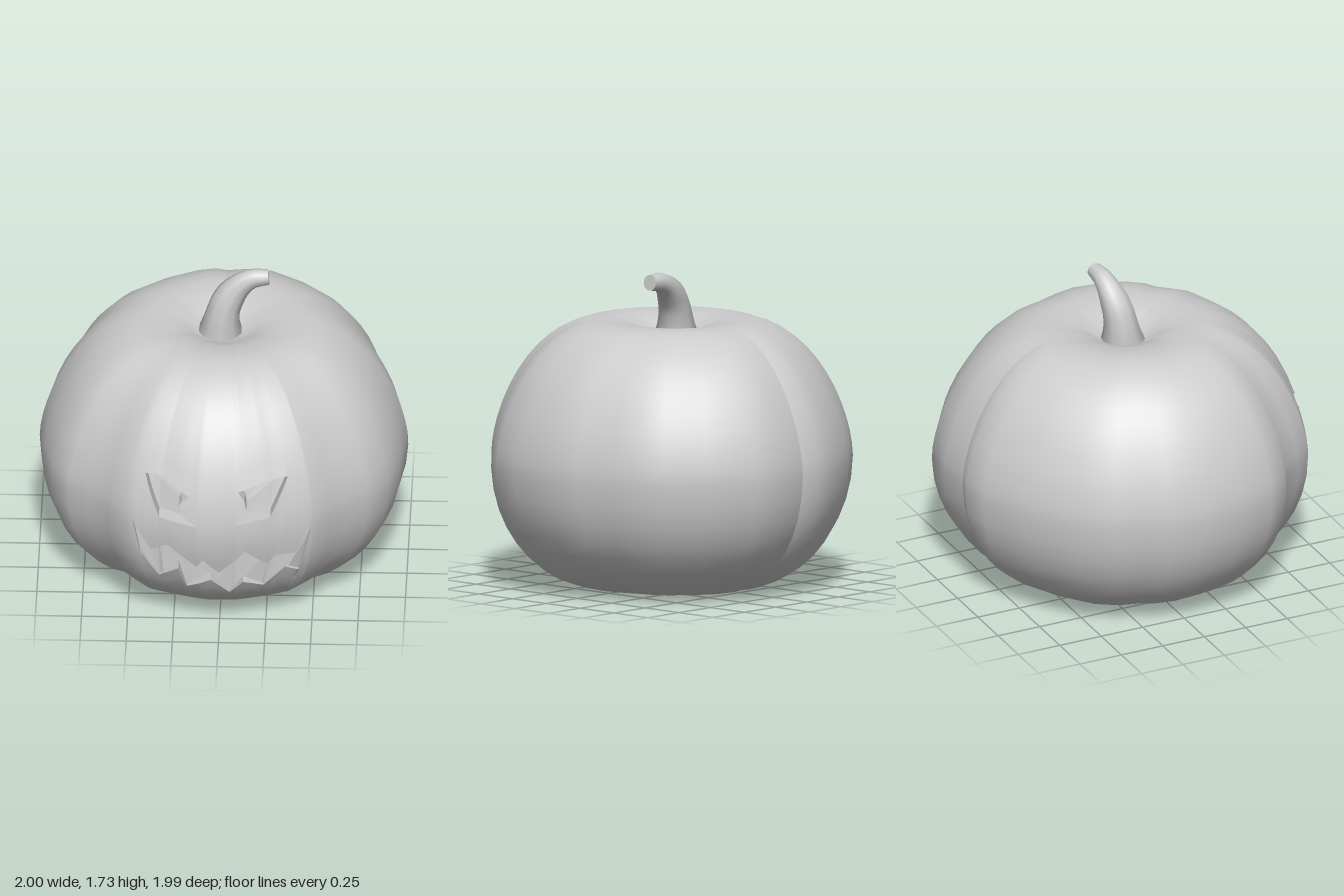
import * as THREE from 'three';
import { mergeVertices } from 'three/addons/utils/BufferGeometryUtils.js';

const TOP = 1.453, WIDEST = 0.69;

// Widest horizontal outline of the ribbed body, as x, z pairs
const OUTLINE = [
  [0, 0.995], [0.1, 0.997], [0.33, 0.93], [0.515, 0.858], [0.6, 0.767], [0.686, 0.665], [0.8, 0.595],
  [0.906, 0.456], [0.965, 0.27], [1, 0], [0.96, -0.193], [0.89, -0.386], [0.858, -0.515], [0.77, -0.66],
  [0.6, -0.826], [0.37, -0.976], [0.177, -0.997], [0.001, -0.97], [-0.1, -0.997], [-0.252, -0.965],
  [-0.504, -0.836], [-0.75, -0.643], [-0.863, -0.47], [-0.91, -0.3], [-0.965, -0.193], [-1, 0],
  [-0.976, 0.236], [-0.917, 0.45], [-0.826, 0.58], [-0.71, 0.633], [-0.61, 0.756], [-0.525, 0.858],
  [-0.33, 0.93], [-0.107, 0.997],
];

// Openings in the front, bottom to top: lower and upper edge from left to right
const MOUTH = {
  low: [[-0.47, 0.7], [-0.43, 0.5], [-0.37, 0.4], [-0.325, 0.33], [-0.22, 0.42], [-0.175, 0.27], [-0.045, 0.35],
    [0.055, 0.23], [0.13, 0.33], [0.24, 0.275], [0.36, 0.41], [0.43, 0.365], [0.5, 0.66]],
  high: [[-0.47, 0.7], [-0.37, 0.53], [-0.28, 0.585], [-0.12, 0.455], [-0.085, 0.505], [0, 0.41],
    [0.145, 0.565], [0.265, 0.455], [0.3, 0.51], [0.43, 0.51], [0.5, 0.66]],
  back: 0.68,
};
// Each eye is split at its notch into a lower and an upper half
const EYES_LOWER = {
  low: [[-0.4, 0.975], [-0.325, 0.75], [-0.12, 0.725], [0.095, 0.74], [0.28, 0.77], [0.373, 0.975]],
  high: [[-0.4, 0.975], [-0.217, 0.835], [-0.2, 0.785], [-0.12, 0.725], [0.095, 0.74], [0.135, 0.78],
    [0.15, 0.825], [0.373, 0.975]],
  back: 0.975,
};
const EYES_UPPER = {
  low: [[-0.4, 0.975], [-0.217, 0.835], [-0.2, 0.86], [-0.16, 0.89], [0.105, 0.925], [0.14, 0.875],
    [0.15, 0.825], [0.373, 0.975]],
  high: [[-0.4, 0.975], [-0.335, 0.985], [-0.16, 0.89], [0.105, 0.925], [0.245, 0.965], [0.373, 0.975]],
  back: 0.975,
};

// Linear interpolation along sorted [key, value] points
function sample(points, t) {
  let i = 1;
  while (i < points.length - 1 && points[i][0] < t) i++;
  const [a, b] = [points[i - 1], points[i]];
  return a[1] + (b[1] - a[1]) * THREE.MathUtils.clamp((t - a[0]) / (b[0] - a[0]), 0, 1);
}

const ring = OUTLINE.map(([x, z]) => [Math.atan2(x, z), Math.hypot(x, z)]).sort((a, b) => a[0] - b[0]);
const ribs = [-1, 0, 1].flatMap(k => ring.map(([a, r]) => [a + k * 2 * Math.PI, r]));

function profile(y) {
  const up = y > WIDEST;
  const d = Math.min(1, up ? (y - WIDEST) / (TOP - WIDEST) : (WIDEST - y) / WIDEST);
  return up ? 0.395 + 0.605 * Math.sqrt(1 - d ** 1.65) : 0.41 + 0.59 * Math.sqrt(1 - d ** 2);
}
const polar = (angle, r, y) => {
  const R = r * sample(ribs, angle);
  return new THREE.Vector3(R * Math.sin(angle), y, R * Math.cos(angle));
};
const onBody = (angle, y) => polar(angle, profile(y), y);

// Turn front-facing x, y points into angle, y points on the body
function wrap(points, back) {
  const inner = points.map(([x, y]) => {
    let a = 0;
    for (let i = 0; i < 12; i++) a = Math.asin(x / (profile(y) * sample(ribs, a)));
    return [a, y];
  });
  return [[-Math.PI, back], ...inner, [Math.PI, back]];
}

function geometryFrom(points, smooth) {
  let geometry = new THREE.BufferGeometry().setFromPoints(points);
  if (smooth) geometry = mergeVertices(geometry, 1e-4);
  geometry.computeVertexNormals();
  return geometry;
}

function quad(out, a, b, c, d) {
  for (const [p, q, r] of [[a, b, c], [a, c, d]]) {
    const area = q.clone().sub(p).cross(r.clone().sub(p)).length();
    if (area > 1e-8) out.push(p, q, r);
  }
}

function buildBody(group, material) {
  const slots = [MOUTH, EYES_LOWER, EYES_UPPER].map(s => ({ low: wrap(s.low, s.back), high: wrap(s.high, s.back) }));
  const angles = [...ring, ...slots.flatMap(s => [...s.low, ...s.high])].map(p => p[0])
    .concat(-Math.PI, Math.PI).sort((a, b) => a - b)
    .filter((a, i, all) => i === 0 || a - all[i - 1] > 1e-3);
  angles[angles.length - 1] = Math.PI;

  const columns = angles.map(angle => {
    const cuts = slots.map(s => [sample(s.low, angle), sample(s.high, angle)]);
    const at = y => onBody(angle, y);
    const span = (n, f) => Array.from({ length: n + 1 }, (_, k) => at(f(k / n)));
    const [mouth, lower, upper] = cuts;
    // Skin bands between the openings; the end bands run into the dimples
    const bands = [
      [polar(angle, 0, 0.08), polar(angle, 0.2, 0.05), polar(angle, 0.33, 0.01),
        ...span(9, t => mouth[0] * t ** 1.7)],
      span(4, t => mouth[1] + (lower[0] - mouth[1]) * t),
      span(2, t => lower[1] + (upper[0] - lower[1]) * t),
      [...span(9, t => TOP - (TOP - upper[1]) * (1 - t) ** 1.8),
        polar(angle, 0.28, 1.44), polar(angle, 0.19, 1.41), polar(angle, 0.12, 1.37), polar(angle, 0, 1.36)],
    ];
    // Rim of each opening and the recessed floor behind it
    const openings = cuts.map((cut, s) => cut.map(y => {
      const rim = at(y), floor = rim.clone();
      floor.z = s === 0 ? Math.min(0.84, rim.z - 0.02) : rim.z - 0.1;
      return { y, rim, floor };
    }));
    return { bands, openings };
  });

  const skin = [], recesses = [[], []];
  for (let i = 0; i < columns.length - 1; i++) {
    const A = columns[i], B = columns[i + 1];
    A.bands.forEach((band, k) => {
      for (let j = 0; j < band.length - 1; j++) {
        quad(skin, band[j], B.bands[k][j], B.bands[k][j + 1], band[j + 1]);
      }
    });
    const merged = [A, B].every(c => c.openings[2][0].y - c.openings[1][1].y < 1e-4);
    A.openings.forEach(([al, ah], s) => {
      const [bl, bh] = B.openings[s];
      if (ah.y - al.y < 1e-4 && bh.y - bl.y < 1e-4) return;
      const out = recesses[s === 0 ? 0 : 1];
      quad(out, al.floor, bl.floor, bh.floor, ah.floor);
      if (!(s === 2 && merged)) quad(out, al.rim, bl.rim, bl.floor, al.floor);
      if (!(s === 1 && merged)) quad(out, ah.floor, bh.floor, bh.rim, ah.rim);
    });
  }

  const body = new THREE.Mesh(geometryFrom(skin, true), material);
  body.name = 'pumpkinBody';
  group.add(body);
  const inside = material.clone();
  inside.side = THREE.DoubleSide;
  recesses.forEach((points, i) => {
    const mesh = new THREE.Mesh(geometryFrom(points, false), inside);
    mesh.name = i === 0 ? 'mouthRecess' : 'eyeRecesses';
    group.add(mesh);
  });
}

// Curved stem: a tube whose rings taper towards the tip
function buildStem(material) {
  const path = new THREE.CatmullRomCurve3([
    [-0.02, 1.36, -0.015], [-0.01, 1.45, -0.02], [0.015, 1.54, -0.03], [0.07, 1.62, -0.045],
    [0.145, 1.67, -0.055], [0.24, 1.68, -0.06],
  ].map(p => new THREE.Vector3(...p)));
  const radii = [[0, 0.125], [0.12, 0.105], [0.25, 0.093], [0.5, 0.082], [0.75, 0.058], [1, 0.042]];
  const steps = 14, sides = 10;
  const tube = new THREE.TubeGeometry(path, steps, 1, sides);
  const pos = tube.attributes.position, v = new THREE.Vector3();
  for (let i = 0; i < pos.count; i++) {
    const t = Math.floor(i / (sides + 1)) / steps;
    const centre = path.getPointAt(t);
    v.fromBufferAttribute(pos, i).sub(centre).multiplyScalar(sample(radii, t)).add(centre);
    pos.setXYZ(i, v.x, v.y, v.z);
  }
  const stem = new THREE.Group();
  stem.name = 'stem';
  const shaft = new THREE.Mesh(tube, material);
  shaft.name = 'stemShaft';
  const tip = new THREE.Mesh(new THREE.CircleGeometry(0.043, 20), material);
  tip.name = 'stemTip';
  tip.position.copy(path.getPointAt(1));
  tip.lookAt(tip.position.clone().add(path.getTangentAt(1)));
  stem.add(shaft, tip);
  return stem;
}

export function createModel() {
  const group = new THREE.Group();
  group.name = 'carvedPumpkin';
  const material = new THREE.MeshStandardMaterial({ color: 0xcccccc });
  buildBody(group, material);
  group.add(buildStem(material));
  return group;
}
